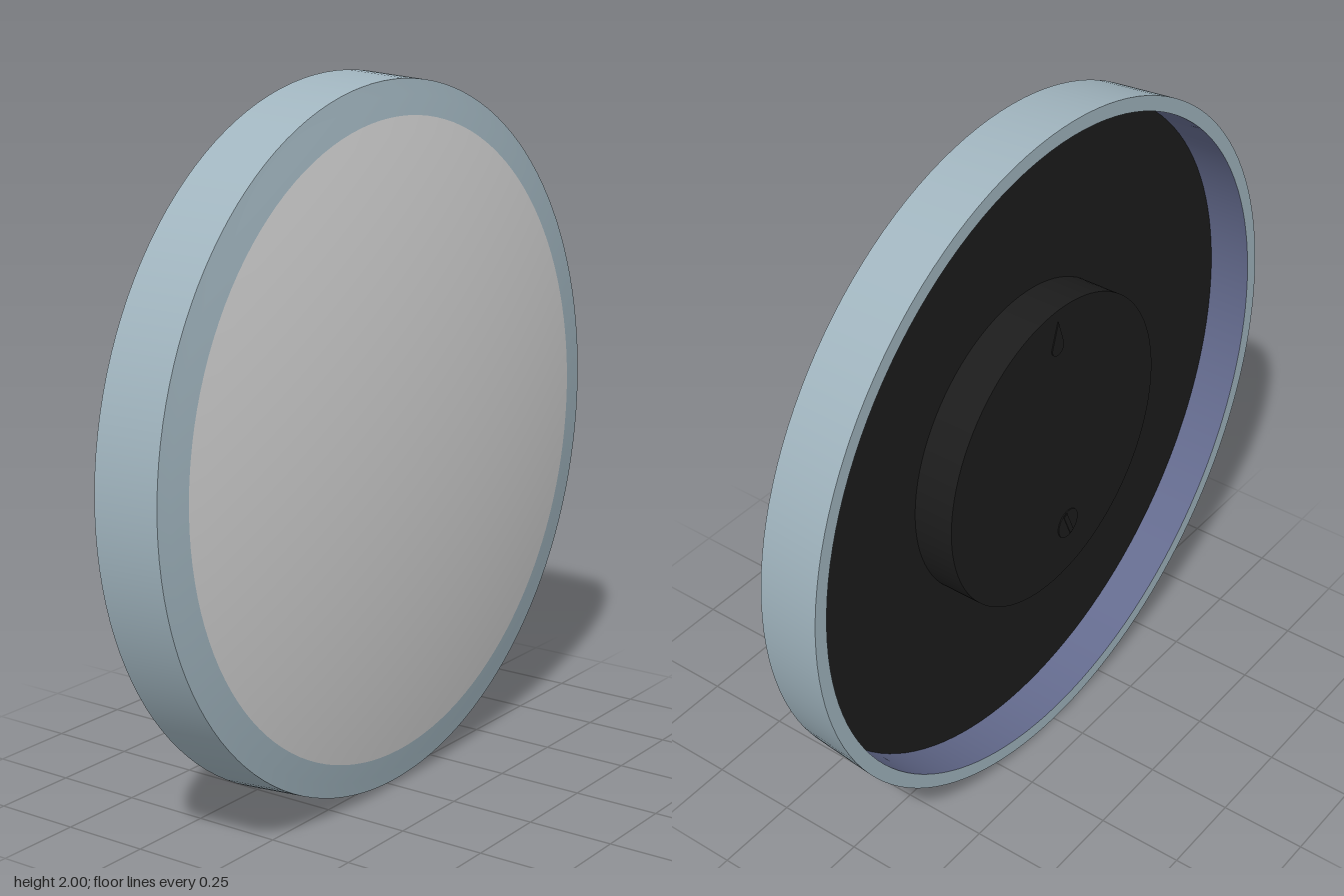
import * as THREE from 'three';

const mat = (name, color, side = THREE.FrontSide) => {
  const m = new THREE.MeshStandardMaterial({ color, side });
  m.name = name;
  return m;
};

export function createModel() {
  const group = new THREE.Group();
  group.name = 'roundWallLight';
  const frameMat = mat('blue grey frame', 0xa0b4be);
  const faceMat = mat('light grey face', 0xcfcfcf);
  const innerMat = mat('slate blue lining', 0x646b8e);
  const blackMat = mat('black backing', 0x1c1c1c);

  const add = (name, geometry, material) => {
    const mesh = new THREE.Mesh(geometry, material);
    mesh.name = name;
    group.add(mesh);
    return mesh;
  };
  // Surface of revolution about z from [radius, z] pairs
  const turned = (name, points, material, segments = 128) => {
    const g = new THREE.LatheGeometry(points.map(([r, z]) => new THREE.Vector2(r, z)), segments);
    g.rotateX(Math.PI / 2);
    return add(name, g, material);
  };

  // Shallow spherical dome: its outer band belongs to the frame
  const apex = 0.145, R = 4.8;
  const domeZ = (r) => apex - R + Math.sqrt(R * R - r * r);
  const domeArc = (r0, r1, n) => Array.from({ length: n + 1 }, (_, i) => {
    const r = r0 + (r1 - r0) * i / n;
    return [r, domeZ(r)];
  });
  turned('domedFace', domeArc(0.89, 0, 20), faceMat);
  turned('frontBezel', [[0.986, 0.043], ...domeArc(0.965, 0.89, 4)], frameMat);

  // Tapered rim, its flat back edge and its lining
  const back = -0.145, panelZ = -0.02;
  turned('outerRim', [[1, back], [0.986, 0.043]], frameMat);
  turned('rimBackEdge', [[0.958, back], [1, back]], frameMat);
  turned('rimLining', [[0.955, panelZ], [0.958, back]], innerMat);

  // Recessed back panel and central mounting hub
  const hubZ = -0.14;
  turned('backPanel', [[0, panelZ], [0.955, panelZ]], blackMat);
  turned('hubSide', [[0.46, hubZ], [0.46, panelZ]], blackMat, 96);
  turned('hubBack', [[0, hubZ], [0.46, hubZ]], blackMat, 96);

  // Teardrop hanging slot
  const slot = new THREE.Shape();
  slot.moveTo(0, 0.055);
  slot.lineTo(-0.025, -0.02);
  slot.absarc(0, -0.025, 0.026, Math.PI, Math.PI * 2, false);
  slot.lineTo(0, 0.055);
  const slotGeo = new THREE.ExtrudeGeometry(slot, { depth: 0.004, bevelEnabled: false });
  add('hangingSlot', slotGeo, blackMat).position.set(0, 0.37, hubZ - 0.003);

  // Small round fastener with a raised bar
  const knobGeo = new THREE.CylinderGeometry(0.045, 0.045, 0.004, 32);
  knobGeo.rotateX(Math.PI / 2);
  add('fastener', knobGeo, blackMat).position.set(-0.06, -0.29, hubZ - 0.001);
  const bar = add('fastenerBar', new THREE.BoxGeometry(0.016, 0.08, 0.004), blackMat);
  bar.position.set(-0.06, -0.29, hubZ - 0.003);
  bar.rotation.z = -0.4;

  group.position.y = 1;
  const model = new THREE.Group();
  model.name = 'model';
  model.add(group);
  return model;
}
